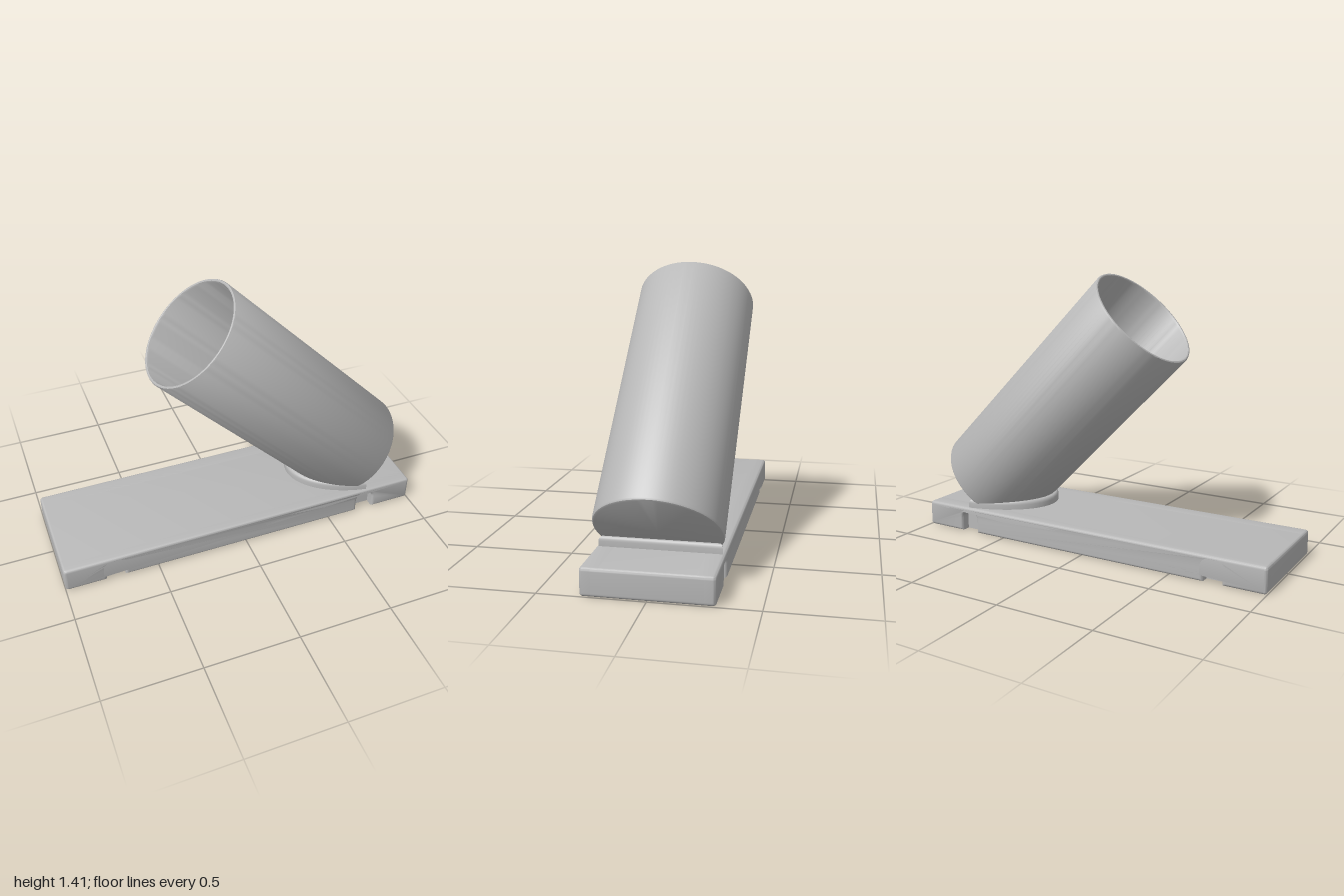
import * as THREE from 'three';
import { toCreasedNormals } from 'three/addons/utils/BufferGeometryUtils.js';

const HALF_DEPTH = 0.303, BASE_TOP = 0.135, BEVEL = 0.016;

// Side outline of the base, optionally with arched notches cut from its underside
function baseOutline(notches) {
  const s = new THREE.Shape(), r = 0.018, h = BASE_TOP;
  s.moveTo(-1 + r, 0);
  for (const x of notches) {
    const w = 0.05, top = 0.105, c = 0.035;
    s.lineTo(x - w, 0);
    s.lineTo(x - w, top - c);
    s.quadraticCurveTo(x - w, top, x - w + c, top);
    s.lineTo(x + w - c, top);
    s.quadraticCurveTo(x + w, top, x + w, top - c);
    s.lineTo(x + w, 0);
  }
  s.lineTo(1 - r, 0);
  s.quadraticCurveTo(1, 0, 1, r);
  s.lineTo(1, h - r);
  s.quadraticCurveTo(1, h, 1 - r, h);
  s.lineTo(-1 + r, h);
  s.quadraticCurveTo(-1, h, -1, h - r);
  s.lineTo(-1, r);
  s.quadraticCurveTo(-1, 0, -1 + r, 0);
  return s;
}

export function createModel() {
  const model = new THREE.Group();
  model.name = 'angledCupHolder';
  const grey = new THREE.MeshStandardMaterial({ color: 0xb8b8b8 });
  grey.name = 'grey';

  const add = (name, geometry) => {
    const mesh = new THREE.Mesh(toCreasedNormals(geometry, 0.6), grey);
    mesh.name = name;
    model.add(mesh);
    return mesh;
  };

  // Base core, whose faces close the backs of the notches
  const coreHalf = 0.25;
  const core = new THREE.ExtrudeGeometry(baseOutline([]), {
    depth: coreHalf * 2, bevelEnabled: false, curveSegments: 6,
  });
  core.translate(0, 0, -coreHalf);
  add('baseCore', core);

  // Notched strips along the front and back of the base
  for (const side of [1, -1]) {
    const inner = 0.2;
    const strip = new THREE.ExtrudeGeometry(baseOutline([-0.73, 0.722]), {
      depth: HALF_DEPTH - inner - 2 * BEVEL, bevelThickness: BEVEL, bevelSize: BEVEL,
      bevelOffset: -BEVEL, bevelSegments: 4, curveSegments: 6,
    });
    const length = HALF_DEPTH - inner;
    strip.translate(0, 0, BEVEL - length / 2 + side * (inner + length / 2));
    add(side > 0 ? 'frontNotchedStrip' : 'backNotchedStrip', strip);
  }

  // Hollow tube with a closed lower end and a rounded rim
  const R = HALF_DEPTH, L = 1.37, inside = 0.284;
  const profile = [
    [0, 0], [R - 0.012, 0], [R - 0.004, 0.004], [R, 0.012],
    [R, L - 0.008], [R - 0.003, L - 0.002], [R - 0.009, L],
    [inside + 0.005, L - 0.002], [inside, L - 0.01], [inside, 0.02], [0, 0.02],
  ].map(([x, y]) => new THREE.Vector2(x, y));
  const tube = add('tube', new THREE.LatheGeometry(profile, 80));
  tube.position.set(0.77, 0.235, 0);
  tube.rotation.z = Math.PI / 4;

  // Raised collar where the tube sinks into the base
  const collarShape = new THREE.Shape();
  const x0 = 0.372, x1 = 0.73, steps = 40;
  const halfWidth = (x) => 0.303 * Math.sqrt(Math.max(0, 1 - ((x - 0.87) / 0.498) ** 2));
  for (let i = -steps; i <= steps; i++) {
    const t = Math.abs(i) / steps;
    const x = x1 - (x1 - x0) * (1 - t * t);
    const z = Math.sign(i) * halfWidth(x);
    if (i === -steps) collarShape.moveTo(x, z);
    else collarShape.lineTo(x, z);
  }
  collarShape.closePath();
  const collar = new THREE.ExtrudeGeometry(collarShape, {
    depth: 0.045, bevelThickness: 0.022, bevelSize: 0.016, bevelOffset: -0.016, bevelSegments: 4,
  });
  collar.rotateX(-Math.PI / 2);
  collar.translate(0, 0.115, 0);
  add('collar', collar);

  return model;
}
